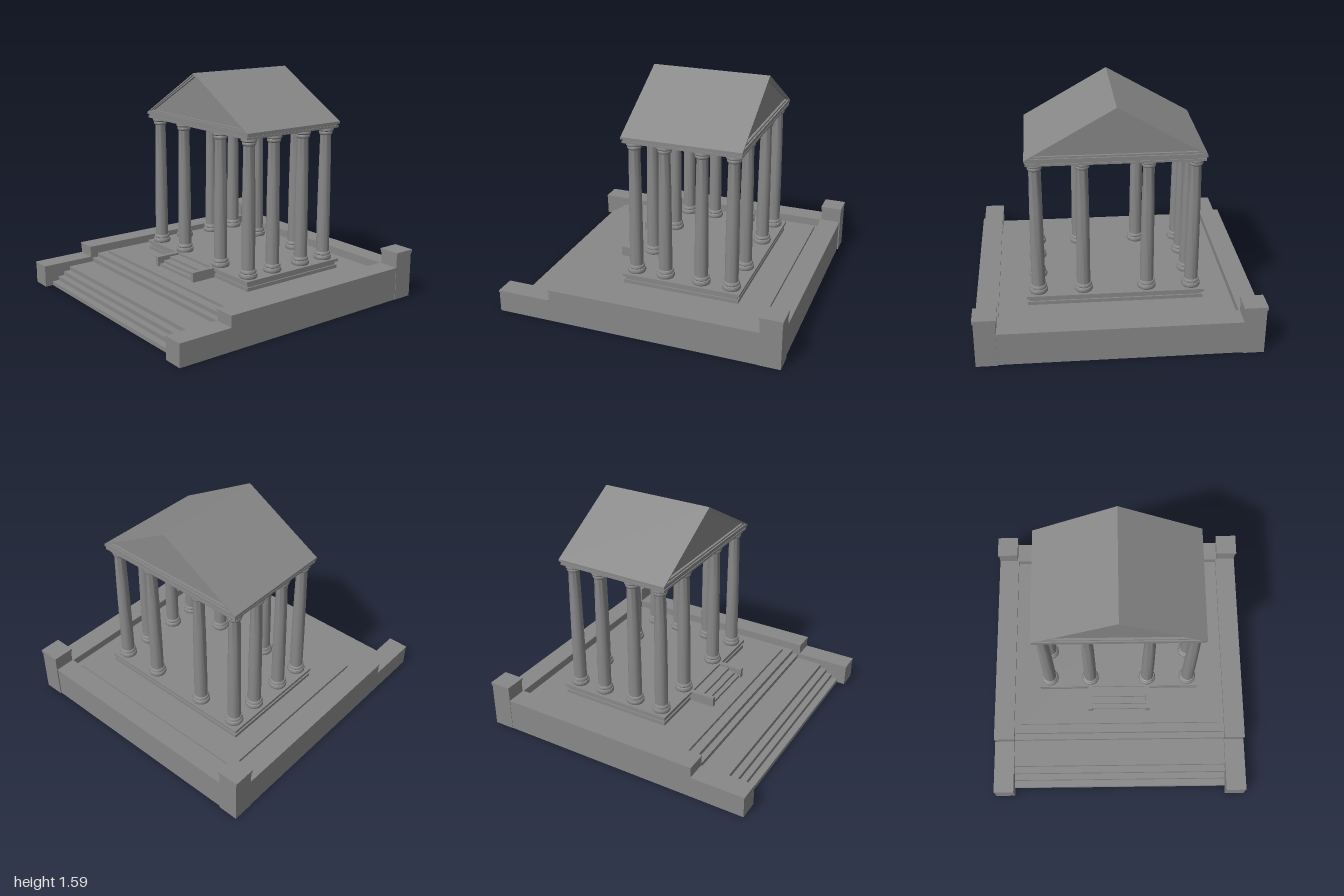
import * as THREE from 'three';
import { toCreasedNormals } from 'three/addons/utils/BufferGeometryUtils.js';

const stone = new THREE.MeshStandardMaterial({ color: 0x888888 });

function add(parent, name, geometry) {
  const mesh = new THREE.Mesh(geometry, stone);
  mesh.name = name;
  parent.add(mesh);
  return mesh;
}

// Box given by its extents along each axis
function block(parent, name, [x0, x1], [y0, y1], [z0, z1]) {
  const mesh = add(parent, name, new THREE.BoxGeometry(x1 - x0, y1 - y0, z1 - z0));
  mesh.position.set((x0 + x1) / 2, (y0 + y1) / 2, (z0 + z1) / 2);
}

function group(parent, name) {
  const g = new THREE.Group();
  g.name = name;
  parent.add(g);
  return g;
}

// Triangle with base corners at +-w on height y0 and its peak at y1
function triangle(Type, w, y0, y1) {
  return new Type([new THREE.Vector2(-w, y0), new THREE.Vector2(w, y0), new THREE.Vector2(0, y1)]);
}

function gable(parent, name, outer, inner, z0, z1) {
  const shape = triangle(THREE.Shape, ...outer);
  if (inner) shape.holes.push(triangle(THREE.Path, ...inner));
  const geometry = new THREE.ExtrudeGeometry(shape, { depth: z1 - z0, bevelEnabled: false });
  add(parent, name, geometry.translate(0, 0, z0));
}

export function createModel() {
  const model = new THREE.Group();
  model.name = 'temple';

  // Terrace: four steps, a landing, two more steps and the court floor
  const terrace = group(model, 'terrace');
  const rise = 0.175 / 6;
  [0.94, 0.89, 0.845, 0.795, 0.6, 0.555].forEach((z, i) =>
    block(terrace, 'terraceStep', [-0.795, 0.795], [i * rise, (i + 1) * rise], [-0.85, z]));
  block(terrace, 'courtPaving', [-0.745, 0.745], [0.175, 0.195], [-0.81, 0.49]);

  // Enclosing walls with low front blocks and corner piers
  const walls = group(model, 'walls');
  for (const s of [-1, 1]) {
    const side = (a, b) => (s > 0 ? [a, b] : [-b, -a]);
    block(walls, 'frontWall', side(0.795, 0.937), [0, 0.145], [0.615, 0.997]);
    block(walls, 'frontWallCap', side(0.793, 0.94), [0.145, 0.157], [0.615, 1]);
    block(walls, 'sideWall', side(0.795, 0.937), [0, 0.222], [-0.85, 0.615]);
    block(walls, 'sideWallCap', side(0.79, 0.94), [0.222, 0.236], [-0.85, 0.618]);
    block(walls, 'cornerPier', side(0.798, 0.94), [0, 0.318], [-0.996, -0.85]);
    block(walls, 'pierCapNeck', side(0.794, 0.944), [0.318, 0.33], [-0.998, -0.848]);
    block(walls, 'pierCap', side(0.791, 0.947), [0.33, 0.346], [-1, -0.845]);
  }
  block(walls, 'backWall', [-0.798, 0.798], [0, 0.222], [-0.988, -0.85]);
  block(walls, 'backWallCap', [-0.798, 0.798], [0.222, 0.236], [-0.992, -0.846]);

  // Temple base in three courses
  const base = group(model, 'templeBase');
  block(base, 'baseCourse', [-0.595, 0.595], [0.195, 0.22], [-0.605, 0.215]);
  block(base, 'baseCourse', [-0.585, 0.585], [0.22, 0.245], [-0.595, 0.205]);
  block(base, 'baseSlab', [-0.6, 0.6], [0.245, 0.265], [-0.614, 0.22]);

  // Small entrance stair between two cheek walls
  [0.38, 0.345, 0.295].forEach((z, i) =>
    block(base, 'entranceStep', [-0.2, 0.2], [0.195 + i * 0.018, 0.213 + i * 0.018], [0.2, z]));
  for (const x of [-0.216, 0.216])
    block(base, 'stairCheek', [x - 0.016, x + 0.016], [0.195, 0.264], [0.2, 0.395]);

  // Columns: two round mouldings at the foot, a tapering shaft, a round two-part capital
  const profile = [
    [0, 0.265], [0.059, 0.265], [0.063, 0.272], [0.063, 0.286], [0.059, 0.293],
    [0.052, 0.296], [0.052, 0.299], [0.056, 0.303], [0.056, 0.314], [0.053, 0.319],
    [0.046, 0.322], [0.046, 0.5], [0.0445, 0.7], [0.042, 0.92], [0.038, 1.162],
    [0.044, 1.166], [0.047, 1.172], [0.047, 1.181], [0.044, 1.187],
    [0.051, 1.19], [0.055, 1.195], [0.055, 1.207], [0.052, 1.213], [0, 1.213],
  ].map(([r, y]) => new THREE.Vector2(r, y));
  const column = toCreasedNormals(new THREE.LatheGeometry(profile, 28), 0.6);
  const columns = group(model, 'columns');
  const xs = [-0.52, -0.215, 0.215, 0.52];
  const zs = [0.148, -0.064, -0.322, -0.535];
  xs.forEach((x, i) => zs.forEach((z, j) => {
    if (i % 3 && j % 3) return; // perimeter only
    add(columns, 'column', column).position.set(x, 0, z);
  }));

  // Entablature
  const top = group(model, 'entablature');
  block(top, 'architrave', [-0.578, 0.578], [1.212, 1.226], [-0.6, 0.212]);
  block(top, 'frieze', [-0.573, 0.573], [1.226, 1.238], [-0.595, 0.207]);
  block(top, 'cornice', [-0.585, 0.585], [1.238, 1.254], [-0.606, 0.217]);

  // Gabled roof with a stepped frame around a recessed pediment at each end
  const roof = group(model, 'roof');
  gable(roof, 'roofSlopes', [0.585, 1.254, 1.59], [0.555, 1.262, 1.578], -0.606, 0.217);
  gable(roof, 'pedimentFrame', [0.555, 1.262, 1.578], [0.525, 1.274, 1.565], -0.596, 0.207);
  gable(roof, 'pediment', [0.535, 1.268, 1.572], null, -0.58, 0.191);

  return model;
}
